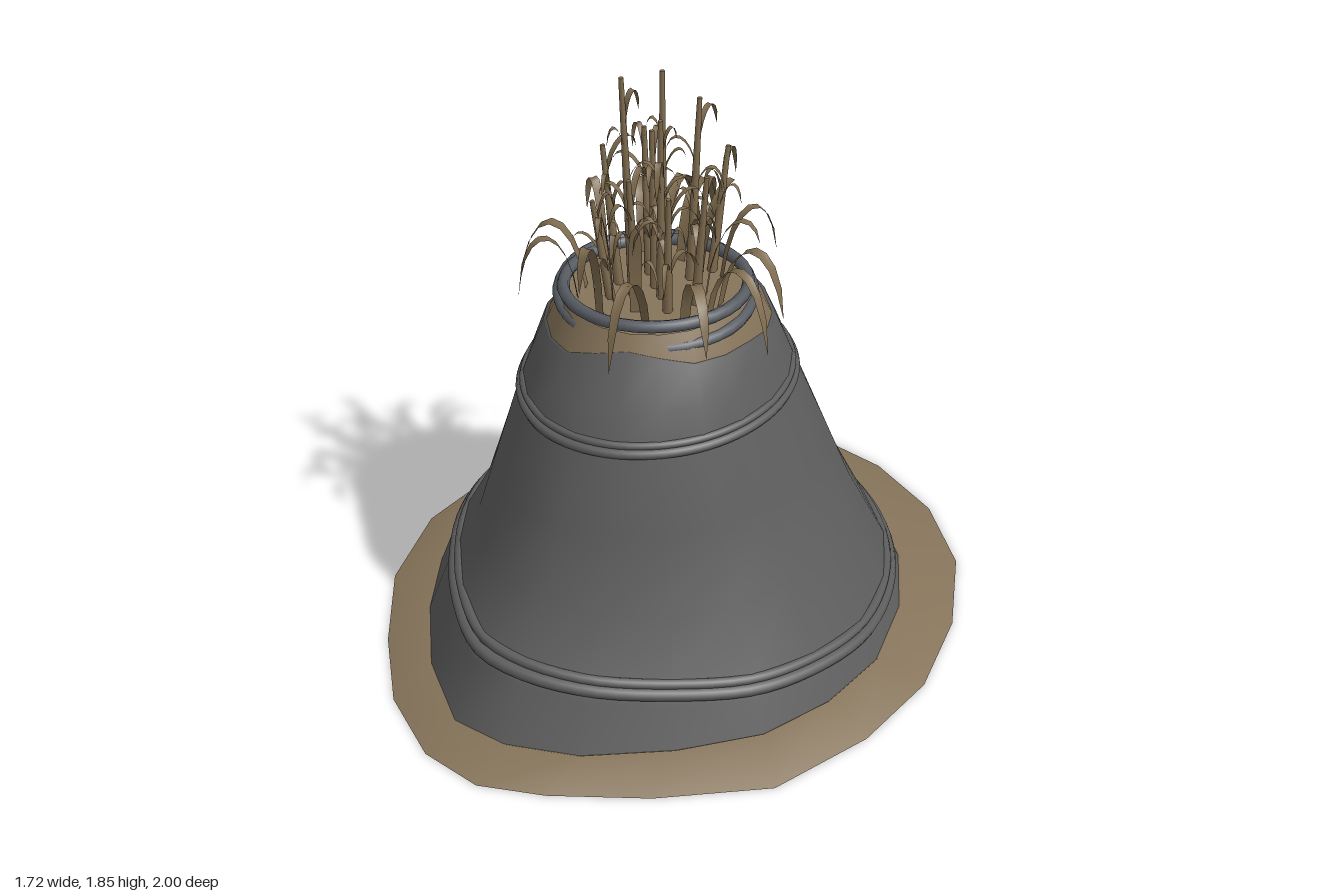
import * as THREE from 'three';

const grey = new THREE.MeshStandardMaterial({ color: 0x5e5e5e });
grey.name = 'slate grey';
const rope = new THREE.MeshStandardMaterial({ color: 0x585d64 });
rope.name = 'rope grey';
const straw = new THREE.MeshStandardMaterial({ color: 0x86745a, side: THREE.DoubleSide });
straw.name = 'straw tan';
const leafMat = new THREE.MeshStandardMaterial({ color: 0x7e6b4e, side: THREE.DoubleSide });
leafMat.name = 'dry leaf';

const N = 20;
// Plan outlines, from the back clockwise: pear-shaped foot and the brim edge
const foot = [[-.03, -.8], [.17, -.78], [.37, -.67], [.54, -.5], [.66, -.28], [.72, -.02], [.69, .22], [.6, .44],
  [.42, .63], [.2, .79], [-.01, .86], [-.19, .85], [-.4, .68], [-.56, .47], [-.67, .26], [-.72, .04],
  [-.69, -.2], [-.6, -.41], [-.44, -.62], [-.25, -.74]];
const brimEdge = [[-.05, -1], [.22, -.96], [.47, -.84], [.67, -.64], [.8, -.36], [.86, -.06], [.83, .24], [.71, .56],
  [.44, .78], [.18, .93], [-.01, 1], [-.21, .97], [-.43, .83], [-.61, .62], [-.78, .36], [-.86, .06],
  [-.83, -.25], [-.73, -.54], [-.55, -.78], [-.31, -.94]];
// Profile rows: y, reach to -x, +x, -z, +z, roundness
const profile = [[.03, .725, .73, .815, .868, 0], [.15, .69, .68, .735, .815, 0], [.25, .64, .63, .68, .765, .05],
  [.42, .545, .55, .59, .645, .35], [.88, .38, .4, .375, .515, .85], [1.07, .315, .335, .29, .425, 1],
  [1.19, .262, .275, .22, .355, 1]];

function sizesAt(y) {
  let k = 0;
  while (k < profile.length - 2 && y > profile[k + 1][0]) k++;
  const [a, b] = [profile[k], profile[k + 1]];
  const t = THREE.MathUtils.clamp((y - a[0]) / (b[0] - a[0]), 0, 1);
  return a.map((v, i) => v + (b[i] - v) * t);
}

// One loop round the body; height may vary with the plan position
function ring(heightAt, inset = 0) {
  return foot.map(([fx, fz], i) => {
    const a = (i / N) * Math.PI * 2;
    const y = heightAt(fx, fz, a);
    const [, xn, xp, zn, zp, round] = sizesAt(y);
    const ux = THREE.MathUtils.lerp(fx / .72, Math.sin(a), round);
    const uz = THREE.MathUtils.lerp(fz / (fz < 0 ? .8 : .86), -Math.cos(a), round);
    // the centre shifts forward as the body rises, so use half spans
    const cx = (xp - xn) / 2, cz = (zp - zn) / 2;
    const x = round === 0 ? ux * (ux < 0 ? xn : xp) : THREE.MathUtils.lerp(ux * (ux < 0 ? xn : xp), cx + ux * (xn + xp) / 2, round);
    const z = THREE.MathUtils.lerp(uz * (uz < 0 ? zn : zp), cz + uz * (zn + zp) / 2, round);
    const r = Math.hypot(x - cx, z - cz), s = (r - inset) / r;
    return new THREE.Vector3(cx + (x - cx) * s, y, cz + (z - cz) * s);
  });
}

// Skin between loops listed from bottom to top
function loft(rings) {
  const index = [];
  for (let j = 0; j < rings.length - 1; j++) {
    for (let i = 0; i < N; i++) {
      const a = j * N + i, b = j * N + (i + 1) % N;
      index.push(a, a + N, b, b, a + N, b + N);
    }
  }
  const g = new THREE.BufferGeometry().setFromPoints(rings.flat());
  g.setIndex(index);
  g.computeVertexNormals();
  return g;
}

const hoop = (points, r) => new THREE.TubeGeometry(new THREE.CatmullRomCurve3(points, true), 80, r, 8, true);
const v = (x, y, z) => new THREE.Vector3(x, y, z);

// Folded ribbon that rises from its base and arches over to its tip
function leafGeometry(base, tip, peak, width) {
  const dir = v(tip.x - base.x, 0, tip.z - base.z);
  const side = v(-dir.z, 0, dir.x).normalize();
  const curve = new THREE.CubicBezierCurve3(base,
    v(base.x + dir.x * .15, peak, base.z + dir.z * .15),
    v(base.x + dir.x * .85, peak + .04, base.z + dir.z * .85), tip);
  const g = new THREE.PlaneGeometry(1, 1, 2, 8);
  const pos = g.attributes.position;
  for (let i = 0; i < pos.count; i++) {
    const u = pos.getX(i) * 2, t = pos.getY(i) + .5;
    const w = width * (.55 + .9 * t) * Math.sqrt(1 - t) * .75;
    const p = curve.getPoint(t).addScaledVector(side, u * w);
    pos.setXYZ(i, p.x, p.y + Math.abs(u) * w * .25, p.z);
  }
  g.computeVertexNormals();
  return g;
}

export function createModel() {
  const model = new THREE.Group();
  const add = (name, geometry, material, parent = model) => {
    const mesh = new THREE.Mesh(geometry, material);
    mesh.name = name;
    parent.add(mesh);
    return mesh;
  };

  // Ground brim
  const brimTop = (x, z) => .06 + .012 * x - .008 * z;
  add('brim', loft([brimEdge.map(([x, z]) => v(x, 0, z)), ring(brimTop, -.01), ring(() => .035, .035)]), straw);

  // Cloth body, its tilted lower seam, level upper seam and wavy top edge
  const lowSeam = (x, z) => .19 - .06 * x + .06 * z;
  const wavyEdge = (x, z, a) => 1.105 + .03 * Math.sin(2 * a + 2.4) + .012 * Math.sin(5 * a);
  const level = (y) => () => y;
  add('body', loft([ring(level(.035)), ring((x, z) => lowSeam(x, z) - .03), ring(lowSeam), ring(level(.42)), ring(level(.65)),
    ring(level(.88)), ring(level(1)), ring(wavyEdge), ring(wavyEdge, .012)]), grey);
  add('lowerSeam', hoop(ring(lowSeam, .008), .02), grey);
  add('lowerSeamFold', hoop(ring((x, z) => lowSeam(x, z) + .028, .008), .016), grey);
  add('upperSeam', hoop(ring(level(.89), .006), .015), grey);
  add('upperSeamFold', hoop(ring(level(.912), .006), .012), grey);
  add('footHem', hoop(ring(level(.035), .035), .013), rope);

  // Straw lining showing inside and above the cloth
  add('lining', loft([ring(level(.035), .03), ring(level(.25), .02), ring(level(.42), .02), ring(level(.88), .02),
    ring(level(1.07), .01), ring(level(1.19), .006)]), straw);
  const floor = add('floor', new THREE.CircleGeometry(.275, 20), straw);
  floor.rotation.x = -Math.PI / 2;
  floor.position.set(.005, 1.165, .07);

  // Rope wound round the neck
  [[1.165, .275, .05, -.04], [1.192, .262, -.04, .05]].forEach(([y, r, tx, tz]) => {
    const loop = add('neckRope', new THREE.TorusGeometry(r, .018, 8, 36), rope);
    loop.rotation.set(Math.PI / 2 + tx, tz, 0);
    loop.position.set(.005, y, .07);
  });

  // Prop rod inside
  add('innerRod', new THREE.TubeGeometry(new THREE.LineCurve3(v(-.09, .2, .45), v(.02, .8, .34)), 1, .02, 8), rope);

  // Broad leaves spilling over the neck: base x, z, tip x, y, z, peak, half width
  const leaves = new THREE.Group();
  leaves.name = 'outerLeaves';
  model.add(leaves);
  [[-.09, -.12, -.12, 1.02, -.37, 1.42, .03], [-.02, -.1, -.03, 1.2, -.31, 1.42, .035],
    [-.14, -.08, -.24, 1.24, -.22, 1.38, .025], [.13, -.08, .23, 1.22, -.22, 1.42, .025],
    [.2, .04, .41, 1.19, .05, 1.42, .035], [.2, .1, .42, 1.13, .15, 1.4, .03],
    [.18, .2, .35, 1.21, .36, 1.42, .032], [.08, .24, .1, 1.13, .46, 1.4, .03],
    [-.06, .26, -.06, 1.28, .36, 1.44, .03], [-.17, .16, -.36, 1.1, .23, 1.42, .035],
    [-.16, .22, -.27, 1.25, .34, 1.4, .028], [-.2, .02, -.3, 1.28, -.04, 1.44, .025],
    [.02, .2, .04, 1.46, .23, 1.36, .035], [-.07, .18, -.09, 1.45, .2, 1.36, .032],
    [.14, .02, .29, 1.36, -.02, 1.44, .025], [.06, -.08, .1, 1.42, -.2, 1.4, .03],
  ].forEach(([bx, bz, tx, ty, tz, peak, w]) =>
    add('outerLeaf', leafGeometry(v(bx, 1.16, bz), v(tx, ty, tz), peak, w), leafMat, leaves));

  // Tall dry stalks with small drooping leaves: tip x, z, height
  let seed = 7;
  const rand = () => (seed = (seed * 16807) % 2147483647) / 2147483647;
  const stalks = new THREE.Group();
  stalks.name = 'stalks';
  model.add(stalks);
  [[-.06, .14, 1.85], [-.03, -.02, 1.81], [.06, -.07, 1.73], [-.15, .1, 1.6], [.04, .1, 1.73], [.11, .17, 1.54],
    [-.09, -.02, 1.62], [.1, -.16, 1.55], [.17, .07, 1.58], [-.12, .2, 1.48], [0, .2, 1.58], [-.02, .05, 1.66],
  ].forEach(([x, z, top]) => {
    const foot = v(x * .75 + .01, 1.15, z * .75 + .02), tip = v(x, top, z);
    const axis = tip.clone().sub(foot);
    const stalk = add('stalk', new THREE.CylinderGeometry(.007, .015, axis.length(), 6), leafMat, stalks);
    stalk.position.copy(foot).addScaledVector(axis, .5);
    stalk.quaternion.setFromUnitVectors(v(0, 1, 0), axis.clone().normalize());
    for (let k = 0; k < 5; k++) {
      const b = foot.clone().addScaledVector(axis, .2 + k * .13 + rand() * .08);
      const a = k * 2.4 + rand() * 2, reach = .05 + rand() * .06;
      const t = v(b.x + Math.cos(a) * reach, b.y + .02 + rand() * .09 - .04, b.z + Math.sin(a) * reach);
      add('stalkLeaf', leafGeometry(b, t, b.y + .1, .012 + rand() * .007), leafMat, stalks);
    }
  });
  return model;
}
